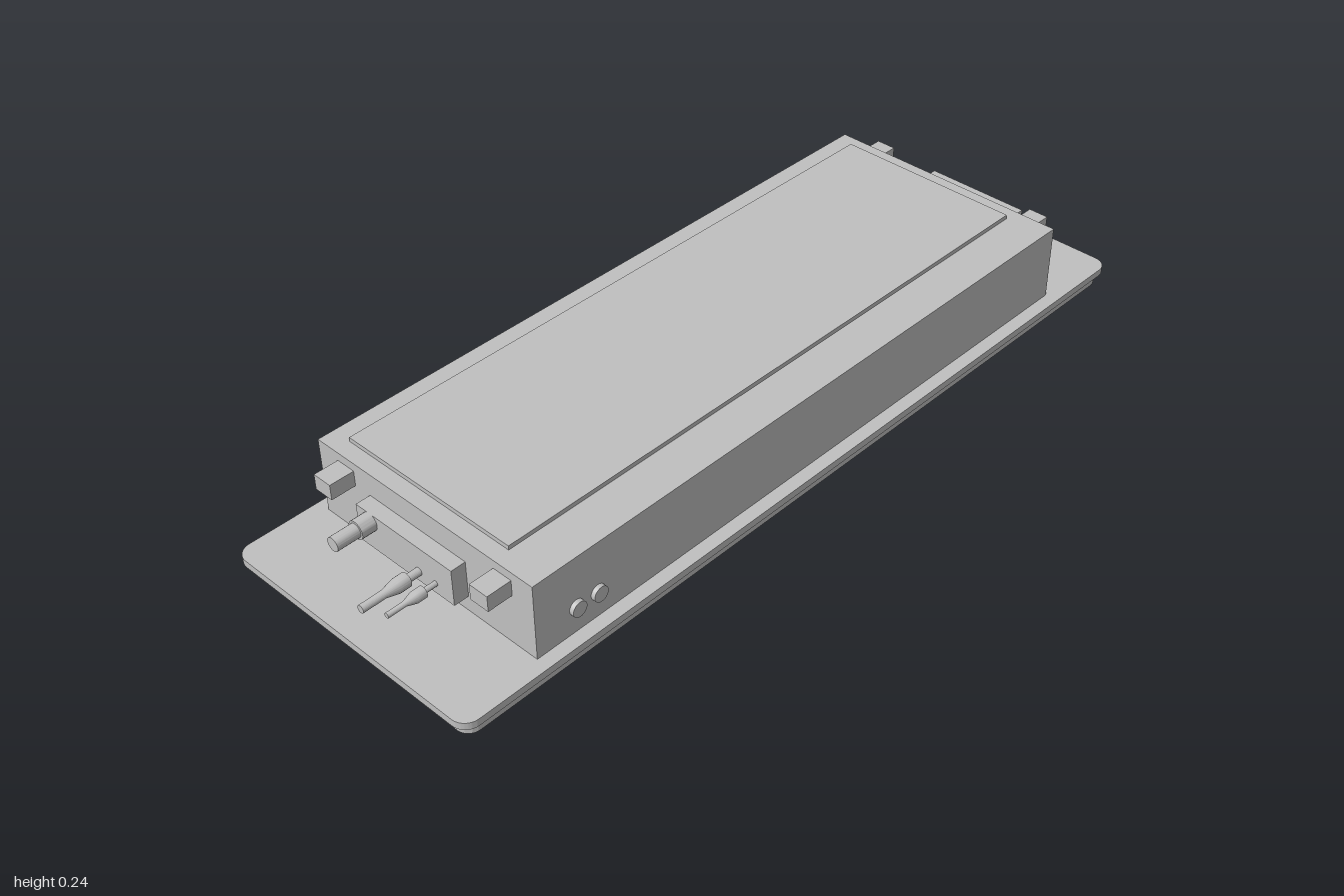
import * as THREE from 'three';
import { toCreasedNormals } from 'three/addons/utils/BufferGeometryUtils.js';

export function createModel() {
  const root = new THREE.Group();
  root.name = 'ceilingCassetteUnit';
  const grey = new THREE.MeshStandardMaterial({ color: 0xc0c0c0 });
  grey.name = 'light grey';

  const add = (name, geometry) => {
    const mesh = new THREE.Mesh(geometry, grey);
    mesh.name = name;
    root.add(mesh);
    return mesh;
  };
  // Box given by its limits on each axis
  const box = (name, x0, x1, y0, y1, z0, z1) =>
    add(name, new THREE.BoxGeometry(x1 - x0, y1 - y0, z1 - z0))
      .position.set((x0 + x1) / 2, (y0 + y1) / 2, (z0 + z1) / 2);
  // Rectangle traced in x and z
  const rect = (Type, x0, x1, z0, z1) => new Type([
    [x0, z0], [x1, z0], [x1, z1], [x0, z1],
  ].map(([x, z]) => new THREE.Vector2(x, z)));
  const rounded = (hx, hz, r) => {
    const s = new THREE.Shape();
    s.absarc(hx - r, hz - r, r, 0, Math.PI / 2);
    s.absarc(-hx + r, hz - r, r, Math.PI / 2, Math.PI);
    s.absarc(-hx + r, -hz + r, r, Math.PI, Math.PI * 1.5);
    s.absarc(hx - r, -hz + r, r, Math.PI * 1.5, Math.PI * 2);
    s.closePath();
    return s;
  };
  // Horizontal slab from an x/z outline
  const slab = (name, shape, y0, y1) => {
    const g = new THREE.ExtrudeGeometry(shape, { depth: y1 - y0, bevelEnabled: false, curveSegments: 8 });
    g.rotateX(Math.PI / 2).translate(0, y1, 0);
    add(name, toCreasedNormals(g, 0.6));
  };

  // Fascia: face plate with cut-outs, backing and wider rim
  const face = rounded(0.985, 0.325, 0.03);
  const sections = 8, rows = 10, gx0 = -0.855, gz0 = 0.06;
  const pitchX = 1.71 / sections, pitchZ = 0.205 / rows;
  for (let i = 0; i < sections; i++) {
    for (let j = 0; j < rows; j++) {
      const x = gx0 + i * pitchX, z = gz0 + j * pitchZ;
      face.holes.push(rect(THREE.Path, x + 0.009, x + pitchX - 0.009, z + 0.005, z + pitchZ - 0.005));
    }
  }
  face.holes.push(rect(THREE.Path, -0.73, 0.73, -0.255, -0.17));
  slab('intakeFace', face, 0.002, 0.014);
  slab('fasciaBacking', rounded(0.985, 0.325, 0.03), 0.014, 0.03);
  slab('fasciaRim', rounded(1, 0.337, 0.035), 0.03, 0.047);
  box('outletVane', -0.726, 0.726, 0.002, 0.014, -0.251, -0.174);

  // Receiver button under the fascia
  add('receiverButton', new THREE.CylinderGeometry(0.018, 0.018, 0.004, 24)).position.set(0.81, 0.002, -0.208);

  // Housing and lid
  box('housing', -0.795, 0.795, 0.047, 0.227, -0.305, 0.305);
  box('lid', -0.757, 0.757, 0.227, 0.237, -0.255, 0.202);

  // Hanging brackets at the four corners
  for (const s of [-1, 1]) {
    for (const z of [-0.223, 0.224]) {
      box('hangingBracket', Math.min(s * 0.795, s * 0.853), Math.max(s * 0.795, s * 0.853),
        0.17, 0.207, z - 0.024, z + 0.024);
    }
  }

  // Boxes on the two ends
  box('controlBox', 0.795, 0.86, 0.063, 0.19, -0.08, 0.175);
  box('pipePlate', -0.83, -0.795, 0.085, 0.172, -0.155, 0.12);

  // Stepped pipes pointing to -x; profile is [radius, distance from the plate]
  const pipe = (name, profile, y, z) => {
    const g = new THREE.LatheGeometry(profile.map(([r, d]) => new THREE.Vector2(r, d)), 24);
    add(name, toCreasedNormals(g.rotateZ(Math.PI / 2), 0.5)).position.set(-0.83, y, z);
  };
  pipe('drainPipe', [[0.021, 0], [0.021, 0.035], [0.016, 0.035], [0.016, 0.09], [0, 0.09]], 0.152, -0.115);
  pipe('gasPipe', [[0.009, 0], [0.009, 0.03], [0.016, 0.03], [0.016, 0.055], [0.009, 0.085],
    [0.009, 0.14], [0, 0.14]], 0.11, 0.022);
  pipe('liquidPipe', [[0.006, 0], [0.006, 0.03], [0.013, 0.03], [0.013, 0.052], [0.006, 0.075],
    [0.006, 0.118], [0, 0.118]], 0.11, 0.07);

  // Cable ports on the front
  for (const x of [-0.692, -0.637]) {
    add('cablePort', new THREE.CylinderGeometry(0.018, 0.018, 0.012, 24).rotateX(Math.PI / 2))
      .position.set(x, 0.107, 0.309);
  }
  return root;
}
